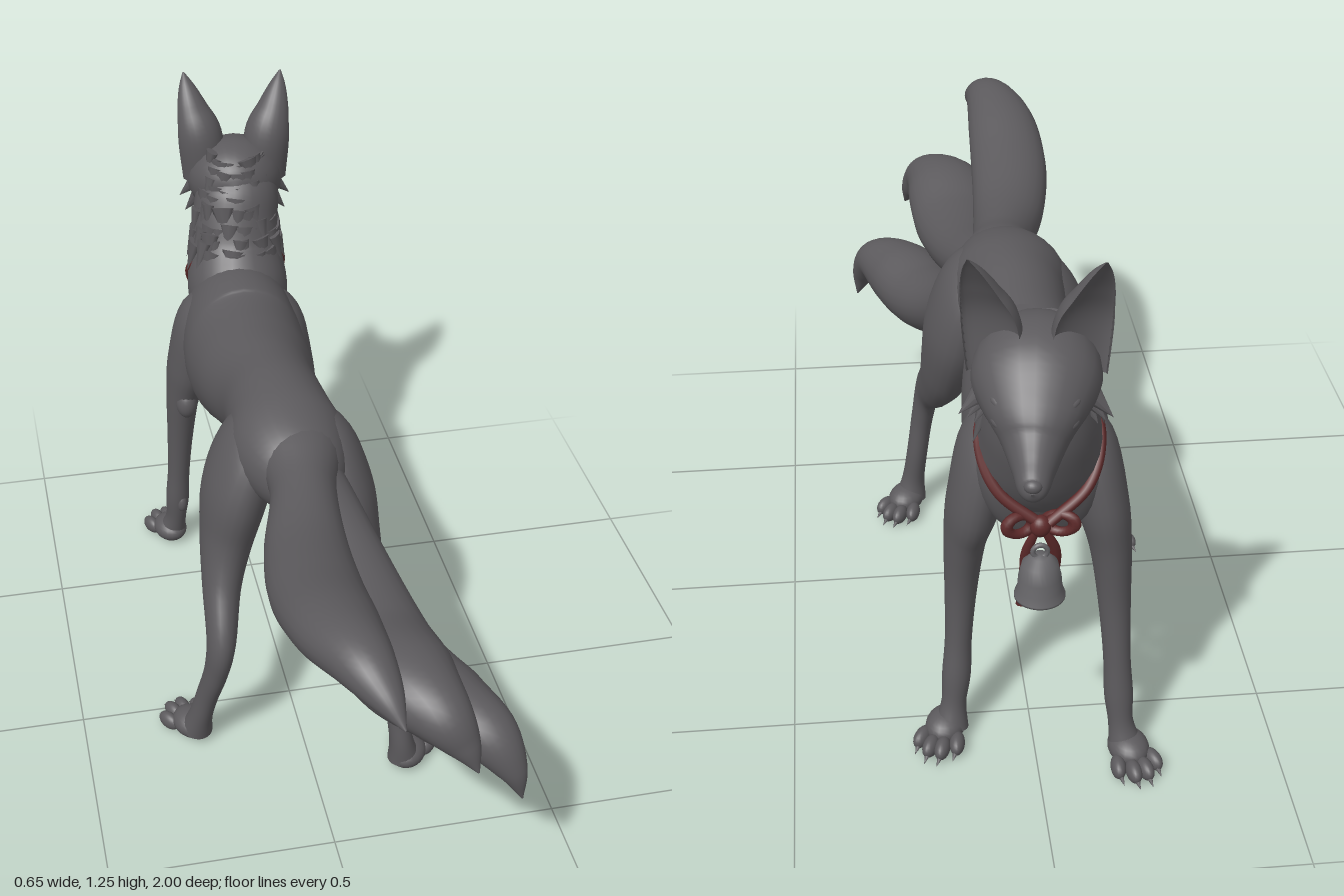
import * as THREE from 'three';

const fur = new THREE.MeshStandardMaterial({ color: 0x5c5a5d });
fur.name = 'grey fur';
const red = new THREE.MeshStandardMaterial({ color: 0x5e2a2a });
red.name = 'dark red ribbon';
const metal = new THREE.MeshStandardMaterial({ color: 0x666568 });
metal.name = 'bell grey';

function add(parent, name, geo, mat = fur, pos = [0, 0, 0], scale = [1, 1, 1], rot = [0, 0, 0]) {
  const m = new THREE.Mesh(geo, mat);
  m.name = name;
  m.position.set(...pos);
  m.scale.set(...scale);
  m.rotation.set(...rot);
  parent.add(m);
  return m;
}

// Smooth skin over oval sections [x, y, z, half width, half depth];
// dent below 0 folds the leading half inward (used for ears).
function loft(stations, segs = 40, sides = 24, dent = 1) {
  const path = new THREE.CatmullRomCurve3(stations.map(s => new THREE.Vector3(s[0], s[1], s[2])), false, 'catmullrom');
  const radii = new THREE.CatmullRomCurve3(stations.map(s => new THREE.Vector3(s[3], s[4], 0)), false, 'catmullrom');
  const pos = [], idx = [];
  for (let i = 0; i <= segs; i++) {
    const t = i / segs, c = path.getPoint(t), r = radii.getPoint(t), T = path.getTangent(t);
    const S = new THREE.Vector3(1, 0, 0).addScaledVector(T, -T.x).normalize();
    const U = T.clone().cross(S);
    for (let j = 0; j < sides; j++) {
      const a = j / sides * Math.PI * 2, sn = Math.sin(a);
      const p = c.clone().addScaledVector(S, Math.cos(a) * Math.max(r.x, 0.001))
        .addScaledVector(U, (sn > 0 ? sn * dent : sn) * Math.max(r.y, 0.001));
      pos.push(p.x, p.y, p.z);
      if (i < segs) {
        const k = i * sides + j, n = i * sides + (j + 1) % sides;
        idx.push(k, n, k + sides, n, n + sides, k + sides);
      }
    }
  }
  const g = new THREE.BufferGeometry();
  g.setAttribute('position', new THREE.Float32BufferAttribute(pos, 3));
  g.setIndex(idx);
  g.computeVertexNormals();
  return g;
}

const ball = new THREE.SphereGeometry(1, 20, 14);

// Paw with four toes and claws, heel at the group's origin, pointing to -z
function paw(parent, name, x, z, yaw) {
  const g = new THREE.Group();
  g.name = name;
  g.position.set(x, 0, z);
  g.rotation.y = yaw;
  add(g, 'pawPad', ball, fur, [0, 0.038, -0.025], [0.042, 0.032, 0.052]);
  for (let i = 0; i < 4; i++) {
    const o = i - 1.5, reach = Math.abs(o) > 1 ? 0.066 : 0.088;
    add(g, 'toe', ball, fur, [o * 0.025, 0.027, -reach], [0.016, 0.021, 0.03], [0, -o * 0.15, 0]);
    add(g, 'claw', new THREE.ConeGeometry(0.007, 0.026, 8), fur, [o * 0.027, 0.018, -reach - 0.032], [1, 1, 1], [-1.85, 0, 0]);
  }
  parent.add(g);
}

function buildHead() {
  const head = new THREE.Group();
  head.name = 'head';
  head.position.set(0.02, 1, -0.76);
  head.rotation.y = -0.14;
  add(head, 'skull', loft([
    [0, 0.02, 0.115, 0.005, 0.005], [0, 0.02, 0.09, 0.065, 0.06], [0, 0.015, 0.035, 0.106, 0.094],
    [0, 0.002, -0.03, 0.115, 0.097], [0, -0.026, -0.09, 0.09, 0.074], [0, -0.062, -0.135, 0.057, 0.06],
    [0, -0.084, -0.185, 0.037, 0.044], [0, -0.094, -0.225, 0.025, 0.028], [0, -0.095, -0.24, 0.003, 0.003]]));
  add(head, 'nose', ball, fur, [0, -0.083, -0.23], [0.016, 0.013, 0.014]);
  for (const s of [-1, 1]) {
    add(head, 'ear', loft([
      [-s * 0.01, 0.01, 0, 0.056, 0.06], [0, 0.11, 0, 0.056, 0.056], [s * 0.009, 0.17, -0.015, 0.04, 0.038],
      [s * 0.012, 0.22, -0.035, 0.021, 0.02], [s * 0.012, 0.253, -0.05, 0.002, 0.002]], 24, 24, -0.35),
      fur, [s * 0.083, 0, -0.025], [1, 1, 1], [0, -s * 0.45, 0]);
    // Closed eyes, brows and cheek fur
    add(head, 'eyelid', ball, fur, [s * 0.055, -0.028, -0.118], [0.026, 0.014, 0.018], [0, -s * 0.7, s * 0.25]);
    add(head, 'brow', ball, fur, [s * 0.05, 0.003, -0.11], [0.034, 0.013, 0.02], [0, -s * 0.6, s * 0.3]);
    for (let i = 0; i < 3; i++) {
      add(head, 'cheekTuft', new THREE.ConeGeometry(0.034, 0.1, 10), fur,
        [s * (0.102 - i * 0.008), -0.025 - i * 0.022, -0.035 + i * 0.03], [1, 1, 0.6], [0.25, 0, s * (Math.PI + 0.75 - i * 0.12)]);
    }
  }
  return head;
}

// Overlapping fur locks round the back of the neck, widening into a ruff
function buildMane() {
  const mane = new THREE.Group();
  mane.name = 'mane';
  let seed = 7;
  const rnd = () => (seed = (seed * 16807) % 2147483647) / 2147483647;
  const lock = new THREE.ConeGeometry(0.024, 0.08, 8);
  for (let row = 0; row < 8; row++) {
    const t = row / 7;
    for (let i = 0; i < 10; i++) {
      const g = new THREE.Group();
      g.name = 'furLock';
      g.position.set(0.018 - t * 0.015, 1.06 - t * 0.185 - rnd() * 0.025, -0.742 + t * 0.06);
      g.rotation.y = (i - 4.5 + (row % 2) * 0.5) * (0.3 + t * 0.04) + (rnd() - 0.5) * 0.25;
      add(g, 'lock', lock, fur, [0, 0, 0.072 + t * 0.043], [0.7 + rnd() * 0.5, 1, 0.5], [Math.PI - 0.22 - rnd() * 0.15, 0, (rnd() - 0.5) * 0.3]);
      mane.add(g);
    }
  }
  return mane;
}

function buildCollar() {
  const collar = new THREE.Group();
  collar.name = 'collarWithBell';
  add(collar, 'knot', ball, red, [0.01, 0.67, -0.757], [0.02, 0.022, 0.018]);
  for (const s of [-1, 1]) {
    // Strand from under the ruff down to the knot
    const strand = [[0.07, 0.86, -0.62], [0.108, 0.838, -0.655], [0.11, 0.785, -0.692], [0.082, 0.73, -0.73], [0.008, 0.675, -0.757]]
      .map(p => new THREE.Vector3(s * p[0] + 0.003, p[1], p[2]));
    add(collar, 'ribbonStrand', new THREE.TubeGeometry(new THREE.CatmullRomCurve3(strand), 32, 0.011, 8), red);
    add(collar, 'bowLoop', new THREE.TorusGeometry(0.022, 0.01, 8, 20), red,
      [0.01 + s * 0.038, 0.67, -0.75], [1.3, 0.9, 1], [0, s * 0.45, s * 0.25]);
    add(collar, 'ribbonEnd', loft([
      [0.01, 0.67, -0.75, 0.006, 0.006], [0.006 + s * 0.026, 0.6, -0.735, 0.011, 0.008],
      [0.006 + s * 0.028, 0.52, -0.713, 0.011, 0.008], [0.006 + s * 0.03, 0.45, -0.703, 0.014, 0.008]], 16, 8), red);
  }
  const profile = [[0, 0.075], [0.03, 0.06], [0.04, 0.004], [0.049, 0], [0.049, 0.004], [0.043, 0.02], [0.041, 0.045], [0.034, 0.075], [0.018, 0.09], [0, 0.092]];
  add(collar, 'bell', new THREE.LatheGeometry(profile.map(p => new THREE.Vector2(...p)), 28), metal, [0.01, 0.512, -0.757]);
  add(collar, 'bellLoop', new THREE.TorusGeometry(0.014, 0.005, 8, 16), metal, [0.01, 0.612, -0.757]);
  add(collar, 'clapper', ball, metal, [0.01, 0.522, -0.757], [0.014, 0.018, 0.014]);
  return collar;
}

export function createModel() {
  const fox = new THREE.Group();
  fox.name = 'threeTailedFox';

  // Trunk and neck
  add(fox, 'torso', loft([
    [0, 0.76, 0.24, 0.005, 0.005], [0, 0.75, 0.16, 0.09, 0.085], [-0.01, 0.762, 0.05, 0.128, 0.114],
    [-0.01, 0.765, -0.06, 0.115, 0.12], [-0.01, 0.748, -0.18, 0.113, 0.125], [-0.015, 0.717, -0.32, 0.136, 0.143],
    [-0.015, 0.69, -0.45, 0.145, 0.173], [-0.01, 0.705, -0.56, 0.135, 0.17], [0, 0.72, -0.66, 0.108, 0.13],
    [0, 0.72, -0.735, 0.01, 0.01]], 60, 32));
  add(fox, 'neck', loft([
    [0, 0.66, -0.52, 0.08, 0.1], [0, 0.76, -0.62, 0.12, 0.13], [0.005, 0.85, -0.68, 0.113, 0.117],
    [0.01, 0.93, -0.703, 0.104, 0.102], [0.02, 1.0, -0.722, 0.096, 0.09], [0.02, 1.06, -0.735, 0.06, 0.055]], 32, 28));
  add(fox, 'bellyTuft', ball, fur, [-0.01, 0.632, -0.12], [0.025, 0.016, 0.05]);
  fox.add(buildHead(), buildMane(), buildCollar());

  // Front legs
  add(fox, 'leftFrontLeg', loft([
    [0.06, 0.83, -0.53, 0.005, 0.01], [0.085, 0.74, -0.54, 0.054, 0.085], [0.115, 0.61, -0.55, 0.054, 0.088],
    [0.133, 0.51, -0.535, 0.044, 0.07], [0.143, 0.38, -0.532, 0.034, 0.042], [0.15, 0.25, -0.535, 0.028, 0.034],
    [0.156, 0.16, -0.545, 0.03, 0.033], [0.163, 0.09, -0.553, 0.026, 0.029], [0.17, 0.035, -0.565, 0.036, 0.034]]));
  paw(fox, 'leftFrontPaw', 0.172, -0.54, -0.38);
  add(fox, 'rightFrontLeg', loft([
    [-0.07, 0.83, -0.54, 0.005, 0.01], [-0.1, 0.74, -0.56, 0.054, 0.085], [-0.13, 0.61, -0.59, 0.053, 0.085],
    [-0.148, 0.51, -0.605, 0.042, 0.062], [-0.158, 0.38, -0.617, 0.033, 0.04], [-0.165, 0.25, -0.63, 0.028, 0.032],
    [-0.17, 0.16, -0.638, 0.03, 0.032], [-0.175, 0.09, -0.648, 0.026, 0.029], [-0.184, 0.035, -0.662, 0.036, 0.034]]));
  paw(fox, 'rightFrontPaw', -0.184, -0.645, 0.22);
  // Elbow points and wrist knobs
  for (const [x, z, wx, wz] of [[0.13, -0.49, 0.148, -0.522], [-0.147, -0.56, -0.162, -0.617]]) {
    add(fox, 'elbow', ball, fur, [x, 0.5, z], [0.026, 0.04, 0.03]);
    add(fox, 'wristKnob', ball, fur, [wx, 0.15, wz], [0.014, 0.026, 0.016]);
  }

  // Hind legs, the left one stretched back
  add(fox, 'leftHindLeg', loft([
    [0.03, 0.86, 0.02, 0.005, 0.01], [0.066, 0.78, 0.035, 0.06, 0.1], [0.1, 0.66, 0.06, 0.072, 0.125],
    [0.123, 0.54, 0.1, 0.06, 0.1], [0.143, 0.45, 0.16, 0.042, 0.068], [0.16, 0.37, 0.252, 0.031, 0.052],
    [0.175, 0.28, 0.278, 0.026, 0.036], [0.19, 0.17, 0.286, 0.025, 0.031], [0.2, 0.09, 0.297, 0.027, 0.032],
    [0.208, 0.035, 0.294, 0.037, 0.036]], 50));
  paw(fox, 'leftHindPaw', 0.208, 0.306, -0.5);
  add(fox, 'rightHindLeg', loft([
    [-0.04, 0.86, 0.01, 0.005, 0.01], [-0.08, 0.78, 0.012, 0.06, 0.1], [-0.124, 0.66, 0.02, 0.072, 0.12],
    [-0.15, 0.54, 0.04, 0.06, 0.094], [-0.172, 0.44, 0.09, 0.044, 0.066], [-0.188, 0.34, 0.164, 0.033, 0.048],
    [-0.202, 0.25, 0.163, 0.027, 0.036], [-0.22, 0.16, 0.138, 0.025, 0.031], [-0.234, 0.09, 0.122, 0.027, 0.031],
    [-0.243, 0.035, 0.107, 0.037, 0.036]], 50));
  paw(fox, 'rightHindPaw', -0.243, 0.112, 0.38);

  // Three fanned tails, merging in the rump
  add(fox, 'upperTail', loft([
    [0, 0.8, -0.06, 0.04, 0.04], [0, 0.785, 0.08, 0.09, 0.075], [-0.015, 0.765, 0.22, 0.07, 0.07],
    [-0.048, 0.765, 0.4, 0.084, 0.064], [-0.067, 0.795, 0.58, 0.092, 0.066], [-0.065, 0.84, 0.74, 0.084, 0.063],
    [-0.045, 0.862, 0.86, 0.06, 0.053], [-0.02, 0.842, 0.94, 0.034, 0.032], [0, 0.812, 1.0, 0.002, 0.002]], 52));
  add(fox, 'middleTail', loft([
    [0.01, 0.78, 0.0, 0.04, 0.05], [0.015, 0.735, 0.16, 0.075, 0.065], [0.045, 0.672, 0.38, 0.09, 0.068],
    [0.06, 0.648, 0.57, 0.105, 0.077], [0.078, 0.676, 0.72, 0.1, 0.076], [0.118, 0.668, 0.82, 0.064, 0.058],
    [0.155, 0.62, 0.865, 0.034, 0.03], [0.178, 0.57, 0.892, 0.002, 0.002]], 48));
  add(fox, 'lowerTail', loft([
    [0.02, 0.78, 0.0, 0.04, 0.05], [0.03, 0.66, 0.15, 0.08, 0.075], [0.08, 0.545, 0.34, 0.09, 0.075],
    [0.14, 0.49, 0.49, 0.095, 0.08], [0.196, 0.49, 0.62, 0.092, 0.08], [0.254, 0.487, 0.71, 0.064, 0.058],
    [0.294, 0.43, 0.76, 0.033, 0.03], [0.315, 0.36, 0.778, 0.002, 0.002]], 48));
  return fox;
}
